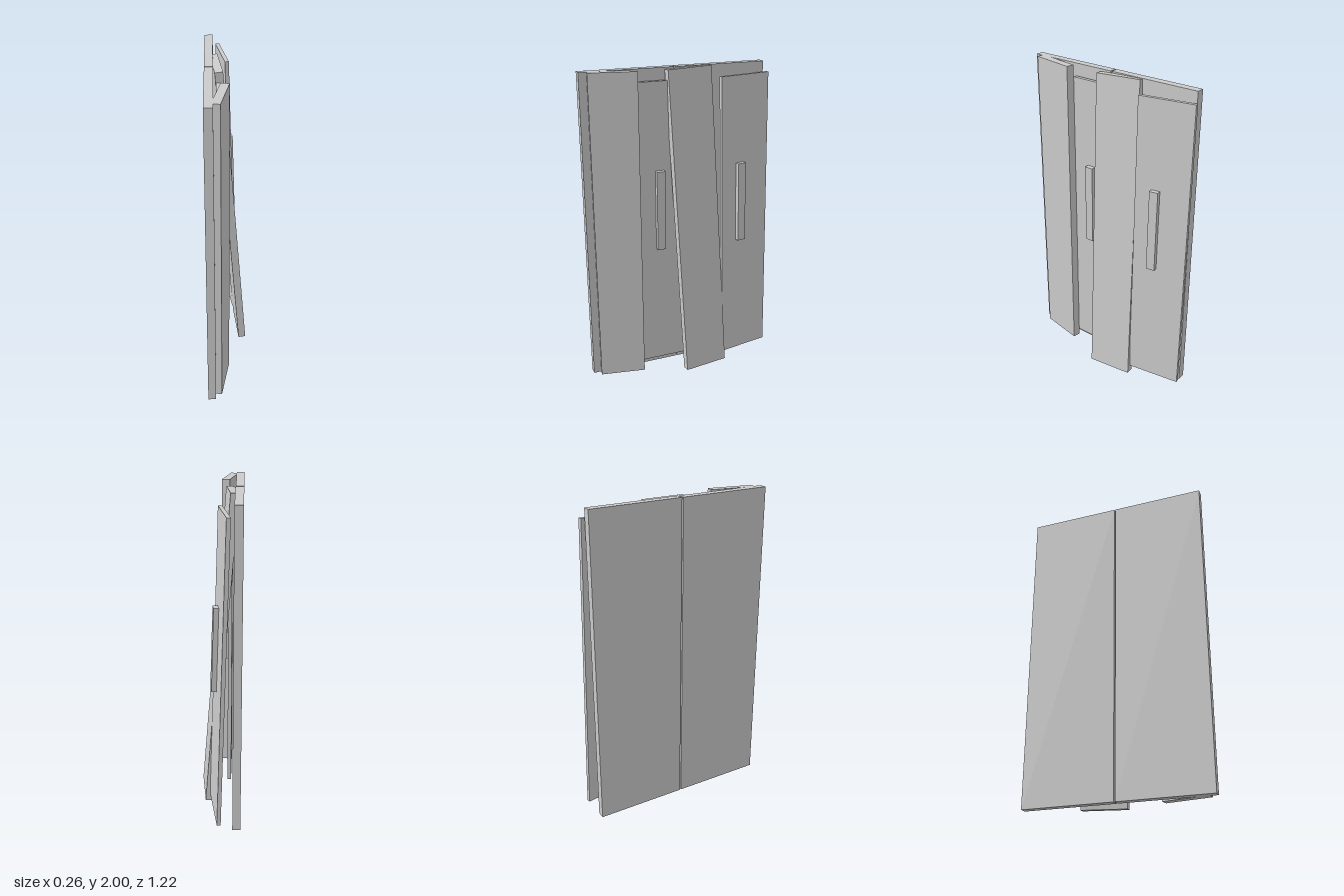
import * as THREE from 'three';

const material = new THREE.MeshStandardMaterial({ color: 0xcccccc, flatShading: true });

function board(name, thickness, height, width, x = 0, y = 0, z = 0) {
  const mesh = new THREE.Mesh(new THREE.BoxGeometry(thickness, height, width), material);
  mesh.name = name;
  mesh.position.set(x, y, z);
  return mesh;
}

// Group placed at the centre of a board's front face: local x = outward, y = up, z = across
function leaning(name, center, up, across) {
  const group = new THREE.Group();
  group.name = name;
  const y = new THREE.Vector3(...up).normalize();
  const x = new THREE.Vector3().crossVectors(y, new THREE.Vector3(...across)).normalize();
  const z = new THREE.Vector3().crossVectors(x, y);
  group.quaternion.setFromRotationMatrix(new THREE.Matrix4().makeBasis(x, y, z));
  group.position.set(...center);
  return group;
}

// Thin door with a bar handle
function door(name, center, up, across) {
  const group = leaning(name, center, up, across);
  group.add(board('doorPanel', 0.024, 1.88, 0.348, -0.012));
  group.add(board('doorHandle', 0.03, 0.52, 0.055, 0.015, 0.13, 0.04));
  return group;
}

export function createModel() {
  const model = new THREE.Group();
  model.name = 'leaningBoards';

  // Two upright back boards with a narrow gap between them
  for (const [name, z] of [['backBoardFront', 0.313], ['backBoardRear', -0.281]]) {
    model.add(board(name, 0.05, 2, 0.585, -0.107, 1, z));
  }

  // Upright board turned about the vertical
  const turned = board('turnedBoard', 0.05, 2, 0.29, -0.043, 1, 0.416);
  turned.rotation.y = -0.181;
  model.add(turned);

  // Heavy board leaning against the others
  const plank = leaning('leaningBoard', [0.036, 1.003, -0.098], [-0.153, 1.99, 0.067], [0.031, -0.007, 0.29]);
  plank.add(board('leaningBoardPanel', 0.048, 1.992, 0.292, -0.024));
  model.add(plank);

  // One straight door and one leaning door
  model.add(door('straightDoor', [-0.041, 0.988, 0.096], [0, 1, 0], [0, 0, 1]));
  model.add(door('leaningDoor', [0.013, 0.998, -0.43], [-0.054, 1.88, 0.019], [0.056, -0.002, 0.344]));

  return model;
}
